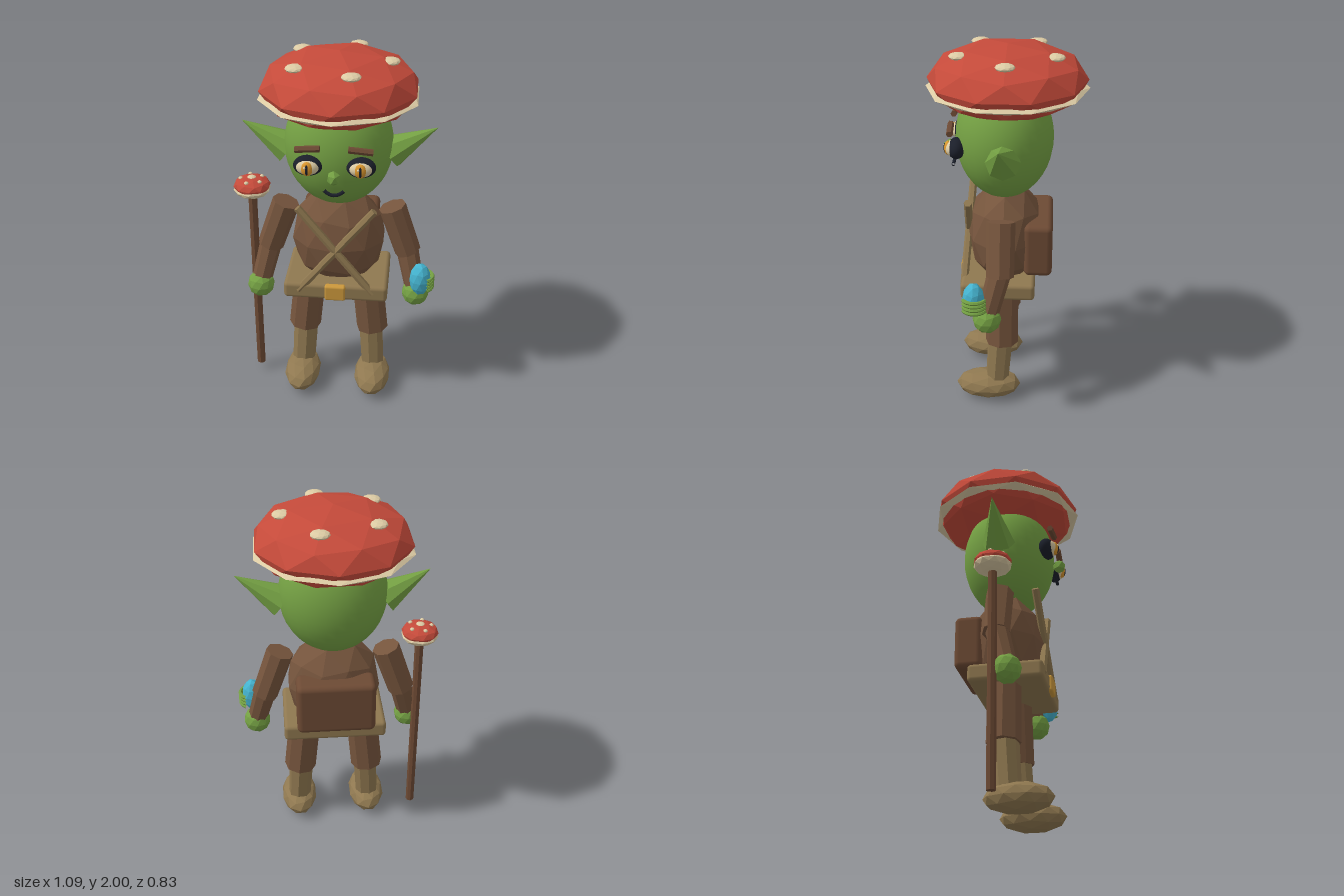
import * as THREE from 'three';
import { RoundedBoxGeometry } from 'three/addons/geometries/RoundedBoxGeometry.js';

const V = (x, y, z) => new THREE.Vector3(x, y, z);

export function createModel() {
  const root = new THREE.Group();
  root.name = 'goblin';
  const figure = new THREE.Group();
  figure.name = 'figure';
  figure.position.x = 0.017;
  root.add(figure);

  const mat = (name, color) => {
    const m = new THREE.MeshStandardMaterial({ color });
    m.name = name;
    return m;
  };
  const green = mat('skin green', 0x74a043);
  const red = mat('mushroom red', 0xc44a3a);
  const cream = mat('cream', 0xdccba4);
  const brown = mat('tunic brown', 0x76553d);
  const tan = mat('leather tan', 0x8f7850);
  const wood = mat('wood brown', 0x6d4a34);
  const gold = mat('buckle gold', 0xcb983c);
  const blue = mat('crystal blue', 0x45b4d0);
  const dark = mat('ink dark', 0x1b1f2a);
  const amber = mat('iris amber', 0xd9962e);

  const flat = (g) => {
    const out = g.index ? g.toNonIndexed() : g;
    out.computeVertexNormals();
    return out;
  };
  const add = (name, geo, material, pos = V(0, 0, 0)) => {
    const m = new THREE.Mesh(geo, material);
    m.name = name;
    m.position.copy(pos);
    figure.add(m);
    return m;
  };
  // Faceted ball with a corner pointing up
  const ico = (name, material, pos, rx, ry, rz = rx, detail = 1) => {
    const g = new THREE.IcosahedronGeometry(1, detail);
    g.rotateZ(-Math.atan(2 / (1 + Math.sqrt(5))));
    g.scale(rx, ry, rz);
    return add(name, flat(g), material, pos);
  };
  const ball = (name, material, pos, rx, ry, rz) =>
    add(name, new THREE.SphereGeometry(1, 32, 20).scale(rx, ry, rz), material, pos);
  // Faceted rod or cone from a to b
  const rod = (name, material, a, b, ra, rb, sides = 8) => {
    const g = new THREE.CylinderGeometry(rb, ra, a.distanceTo(b), sides);
    const m = add(name, flat(g), material, a.clone().lerp(b, 0.5));
    m.quaternion.setFromUnitVectors(V(0, 1, 0), b.clone().sub(a).normalize());
    return m;
  };

  // Mushroom hat
  ico('hatCap', red, V(0, 1.82, 0), 0.41, 0.18);
  ico('hatRim', cream, V(0, 1.777, 0), 0.417, 0.045);
  for (let i = 0; i < 5; i++) {
    const a = (i * Math.PI * 2) / 5;
    ico('hatSpot', cream, V(0.25 * Math.cos(a), 1.953, 0.25 * Math.sin(a)), 0.05, 0.018).rotation.y = -a;
  }

  // Head and face
  ball('head', green, V(0, 1.51, 0.015), 0.283, 0.325, 0.255);
  ico('nose', green, V(0, 1.45, 0.3), 0.036, 0.04, 0.038, 0);
  const smile = new THREE.QuadraticBezierCurve3(V(-0.05, 1.37, 0.28), V(0, 1.325, 0.292), V(0.05, 1.37, 0.28));
  add('mouth', new THREE.TubeGeometry(smile, 10, 0.009, 6), dark);

  for (const s of [-1, 1]) {
    // Eyes, layered from the outline to the pupil
    const x = 0.132 * s;
    ball('eyeOutline', dark, V(x, 1.492, 0.252), 0.074, 0.053, 0.046);
    ball('eyeWhite', cream, V(x, 1.492, 0.264), 0.061, 0.043, 0.046);
    ball('iris', amber, V(x, 1.492, 0.296), 0.03, 0.037, 0.02);
    ball('pupil', dark, V(x, 1.492, 0.309), 0.009, 0.028, 0.01);
    ball('eyeGlint', cream, V(x - 0.01, 1.505, 0.314), 0.006, 0.006, 0.006);
    rod('brow', wood, V(0.07 * s, 1.6, 0.285), V(0.192 * s, 1.588, 0.28), 0.017, 0.017, 6);
    // Pointed ear
    rod('ear', green, V(0.27 * s, 1.475, 0.01), V(0.503 * s, 1.62, 0.02), 0.09, 0, 8);

    // Arm
    rod('upperArm', brown, V(0.285 * s, 1.155, 0.02), V(0.378 * s, 0.885, 0.02), 0.075, 0.072);
    rod('forearm', brown, V(0.37 * s, 0.92, 0.02), V(0.425 * s, 0.69, 0.08), 0.062, 0.055);
    ico('hand', green, V(0.43 * s, 0.662, 0.086), 0.075, 0.077);

    // Leg and boot
    rod('thigh', brown, V(0.158 * s, 0.72, 0.02), V(0.194 * s, 0.365, 0.022), 0.088, 0.09);
    rod('shin', tan, V(0.185 * s, 0.42, 0.028), V(0.203 * s, 0.1, 0.05), 0.07, 0.065);
    ico('boot', tan, V(0.203 * s, 0.08, 0.098), 0.104, 0.08, 0.18);

    // Crossed chest strap
    rod('strap', tan, V(0.2 * s, 0.725, 0.225), V(-0.2 * s, 1.215, 0.195), 0.021, 0.021, 6);
  }

  // Torso, belt and pack
  ico('torso', brown, V(0, 0.965, 0.01), 0.258, 0.3, 0.205);
  add('belt', new RoundedBoxGeometry(0.56, 0.095, 0.395, 2, 0.022), tan, V(0, 0.725, 0.042));
  add('buckle', new RoundedBoxGeometry(0.112, 0.09, 0.04, 2, 0.012), gold, V(0, 0.728, 0.235));
  add('backpack', new RoundedBoxGeometry(0.42, 0.297, 0.15, 3, 0.03), wood, V(0, 0.937, -0.17));

  // Crystal held by curled fingers
  ico('crystal', blue, V(0.452, 0.79, 0.153), 0.058, 0.097);
  for (let i = 0; i < 4; i++) {
    const g = new THREE.TorusGeometry(0.064, 0.01, 6, 8, 2.1);
    g.rotateZ(-1.05).rotateX(Math.PI / 2);
    add('finger', flat(g), green, V(0.456, 0.745 + i * 0.021, 0.147));
  }

  // Mushroom staff
  const sx = -0.467;
  rod('staffPole', wood, V(sx, 0.05, 0.02), V(sx, 1.22, 0.02), 0.024, 0.024);
  ico('staffCapUnderside', cream, V(sx, 1.225, 0.02), 0.1, 0.042);
  ico('staffCap', red, V(sx, 1.245, 0.02), 0.1, 0.05);
  ico('staffTopSpot', cream, V(sx, 1.288, 0.02), 0.025, 0.012);
  for (let i = 0; i < 5; i++) {
    const a = (i * Math.PI * 2) / 5 + 0.63;
    ico('staffSpot', cream, V(sx + 0.06 * Math.cos(a), 1.281, 0.02 + 0.06 * Math.sin(a)), 0.012, 0.01);
  }
  return root;
}
